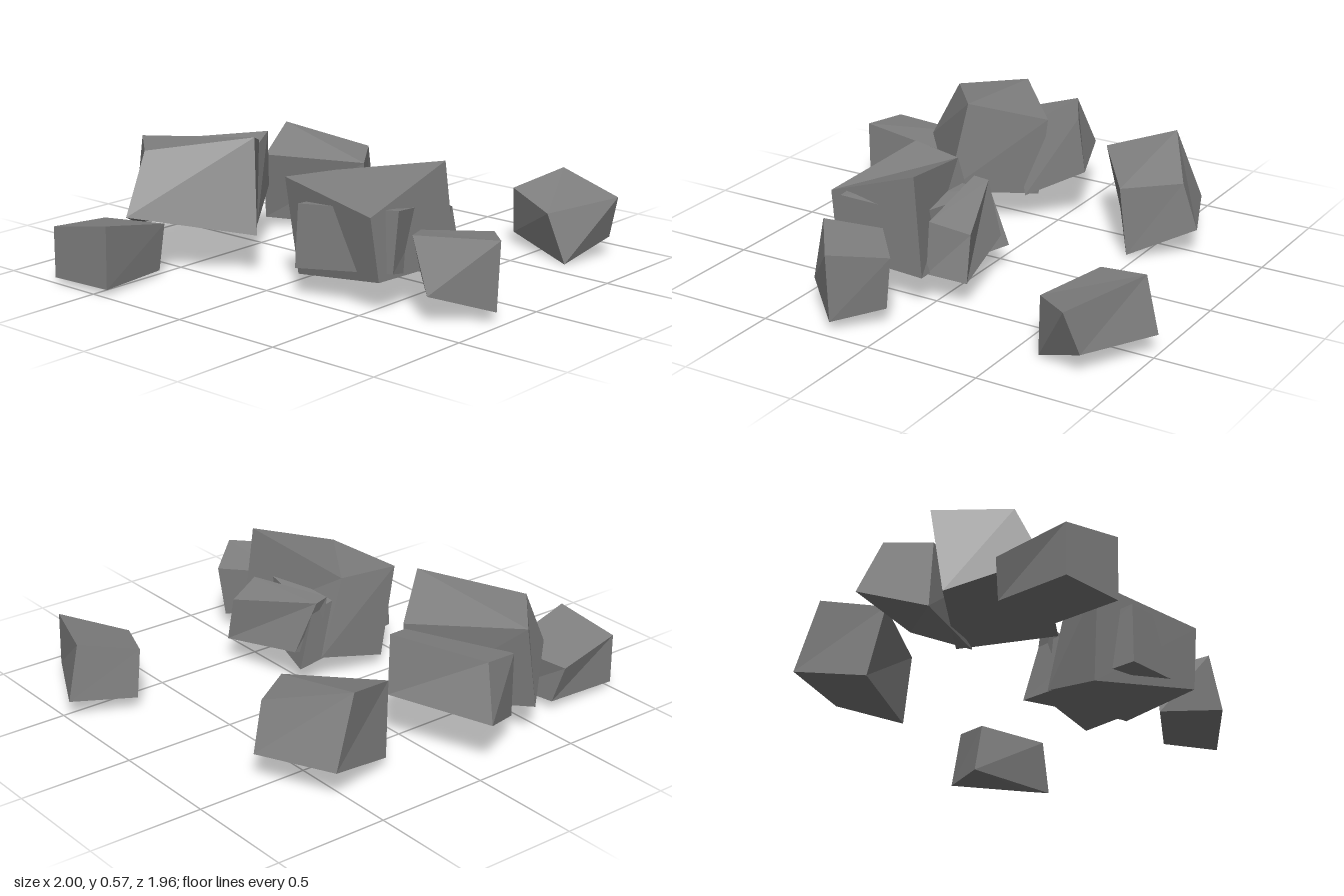
import * as THREE from 'three';

// A rough stone block: a box whose corners are moved to the given places.
// top and bottom list four corners: back left, back right, front right, front left.
function block(name, material, top, bottom) {
  const geometry = new THREE.BoxGeometry(1, 1, 1).toNonIndexed();
  const p = geometry.attributes.position;
  for (let i = 0; i < p.count; i++) {
    const ring = p.getY(i) > 0 ? top : bottom;
    const right = p.getX(i) > 0;
    const corner = p.getZ(i) < 0 ? (right ? 1 : 0) : (right ? 2 : 3);
    p.setXYZ(i, ...ring[corner]);
  }
  geometry.computeVertexNormals(); // one normal per facet
  const mesh = new THREE.Mesh(geometry, material);
  mesh.name = name;
  return mesh;
}

export function createModel() {
  const group = new THREE.Group();
  group.name = 'rubble';
  const stone = new THREE.MeshStandardMaterial({ color: 0x808080 });
  stone.name = 'grey stone';
  const add = (name, top, bottom) => group.add(block(name, stone, top, bottom));

  // back row
  add('backRightSmallRock',
    [[-1, 0.25, -0.73], [-0.67, 0.21, -0.78], [-0.61, 0.225, -0.48], [-0.98, 0.3, -0.435]],
    [[-1, 0.03, -0.73], [-0.64, 0.05, -0.74], [-0.635, 0.025, -0.49], [-0.98, 0.03, -0.44]]);
  add('backLargeRock',
    [[-0.59, 0.515, -0.61], [-0.37, 0.505, -0.855], [-0.04, 0.485, -0.47], [-0.31, 0.58, -0.24]],
    [[-0.725, 0.255, -0.59], [-0.44, 0.13, -0.845], [-0.08, 0.13, -0.46], [-0.375, 0.18, -0.17]]);
  add('backMiddleRock',
    [[-0.34, 0.39, -0.81], [-0.125, 0.445, -0.89], [0.08, 0.495, -0.53], [-0.17, 0.43, -0.42]],
    [[-0.33, 0.115, -0.82], [-0.075, 0.215, -0.98], [0.105, 0.24, -0.55], [-0.12, 0.13, -0.41]]);
  add('backLeftRock',
    [[0.17, 0.355, -0.63], [0.45, 0.44, -0.76], [0.65, 0.34, -0.43], [0.43, 0.325, -0.27]],
    [[0.22, 0.045, -0.68], [0.565, 0.14, -0.795], [0.71, 0.13, -0.455], [0.46, 0.02, -0.285]]);

  // front pile
  add('pileTallRock',
    [[-0.41, 0.475, 0.025], [-0.16, 0.465, 0.08], [-0.055, 0.565, 0.575], [-0.485, 0.41, 0.545]],
    [[-0.36, 0.055, 0.05], [-0.05, 0.12, 0.08], [-0.01, 0.14, 0.595], [-0.45, 0.14, 0.56]]);
  add('pileSideRock',
    [[-0.08, 0.4, 0.08], [-0.015, 0.39, 0.07], [0.14, 0.315, 0.46], [-0.02, 0.36, 0.52]],
    [[-0.05, 0.15, 0.1], [0.07, 0.17, 0.11], [0.145, 0.115, 0.5], [-0.03, 0.13, 0.53]]);
  add('pileLowRock',
    [[-0.48, 0.4, 0.16], [0, 0.35, 0.08], [-0.08, 0.38, 0.52], [-0.39, 0.43, 0.61]],
    [[-0.49, 0.13, 0.15], [0.08, 0.11, 0.06], [-0.08, 0.1, 0.52], [-0.4, 0.17, 0.59]]);

  // loose front rocks
  add('frontSmallRock',
    [[-0.415, 0.355, 0.7], [-0.21, 0.31, 0.575], [-0.02, 0.305, 0.8], [-0.21, 0.34, 0.975]],
    [[-0.415, 0.12, 0.775], [-0.22, 0.12, 0.59], [-0.05, 0.075, 0.79], [-0.21, 0.045, 0.96]]);
  add('frontLeftRock',
    [[0.69, 0.27, 0.37], [0.94, 0.33, 0.46], [0.79, 0.29, 0.85], [0.57, 0.225, 0.64]],
    [[0.72, 0.06, 0.355], [0.995, 0.085, 0.455], [0.83, 0.095, 0.785], [0.605, 0.005, 0.71]]);

  return group;
}
